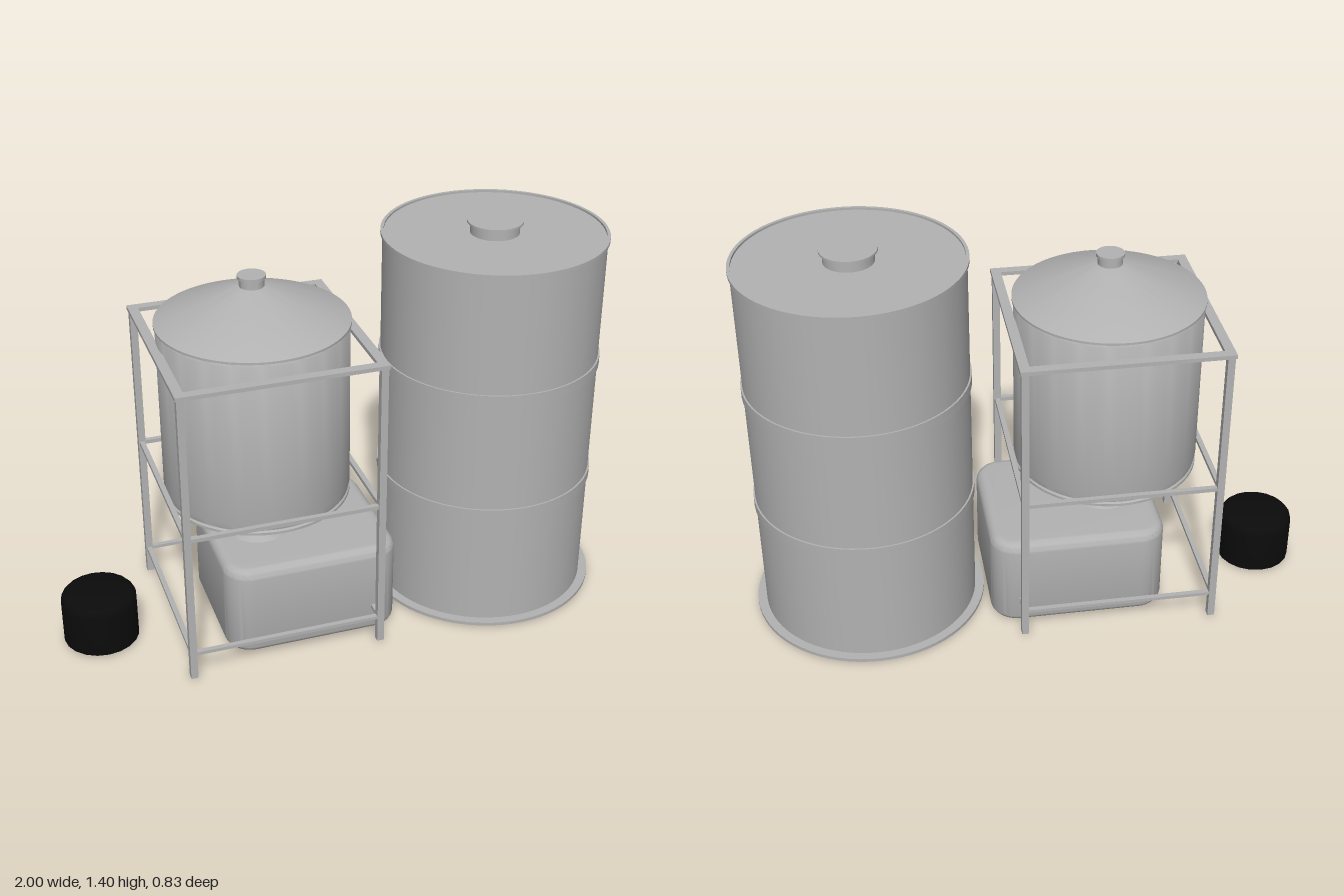
import * as THREE from 'three';
import { toCreasedNormals } from 'three/addons/utils/BufferGeometryUtils.js';

const grey = new THREE.MeshStandardMaterial({ color: 0xb2b2b2 });
grey.name = 'paintedGrey';
const black = new THREE.MeshStandardMaterial({ color: 0x0b0b0b });
black.name = 'matteBlack';

// Turned part: profile of [radius, height] pairs from bottom to top
function turned(name, profile, x, segments = 64, material = grey) {
  const points = profile.map(([r, y]) => new THREE.Vector2(r, y));
  const geometry = toCreasedNormals(new THREE.LatheGeometry(points, segments), 0.6);
  const mesh = new THREE.Mesh(geometry, material);
  mesh.name = name;
  mesh.position.x = x;
  return mesh;
}

function bar(name, w, h, d, x, y, z) {
  const mesh = new THREE.Mesh(new THREE.BoxGeometry(w, h, d), grey);
  mesh.name = name;
  mesh.position.set(x, y, z);
  return mesh;
}

// Tall drum with base flange, two hoops, top rim and filler cap
function createDrum() {
  const drum = new THREE.Group();
  drum.name = 'tallDrum';
  const x = 0.585;
  drum.add(turned('drumBody', [
    [0, 0.008], [0.415, 0.008], [0.415, 0.02], [0.383, 0.02],
    [0.383, 1.353], [0.39, 1.353], [0.39, 1.365], [0.379, 1.365], [0.379, 1.357], [0, 1.357],
  ], x, 72));
  for (const y of [0.463, 0.911]) {
    drum.add(turned('drumHoop', [[0.38, y - 0.018], [0.389, y - 0.018], [0.389, y + 0.018], [0.38, y + 0.018]], x, 72));
  }
  drum.add(turned('drumCap', [[0.085, 1.355], [0.085, 1.394], [0.096, 1.394], [0.096, 1.401], [0, 1.401]], x, 40));
  return drum;
}

// Cone-topped hopper, held up in the frame
function createHopper() {
  const hopper = new THREE.Group();
  hopper.name = 'hopper';
  hopper.add(turned('hopperBody', [
    [0, 0.515], [0.325, 0.515], [0.325, 0.524], [0.32, 0.53], [0.325, 0.555],
    [0.325, 1.142], [0.32, 1.15], [0.33, 1.154], [0.33, 1.162], [0.05, 1.28], [0, 1.28],
  ], -0.277));
  hopper.add(turned('hopperCap', [[0.042, 1.275], [0.042, 1.308], [0.048, 1.308], [0.048, 1.319], [0, 1.319]], -0.277, 32));
  return hopper;
}

// Four legs joined by three levels of rails
function createFrame() {
  const frame = new THREE.Group();
  frame.name = 'supportFrame';
  const cx = -0.275, hx = 0.338, hz = 0.343;
  for (const sx of [-1, 1]) {
    for (const sz of [-1, 1]) {
      frame.add(bar('frameLeg', 0.025, 1.08, 0.025, cx + sx * hx, 0.55, sz * hz));
    }
  }
  const levels = [
    ['topRail', 1.095, 0.014, 0.034],
    ['middleRail', 0.565, 0.014, 0.018],
    ['lowerRail', 0.108, 0.012, 0.018],
  ];
  for (const [name, y, h, w] of levels) {
    for (const s of [-1, 1]) {
      frame.add(bar(name, 2 * hx + w, h, w, cx, y, s * hz));
      frame.add(bar(name, w, h, 2 * hz - w, cx + s * hx, y, 0));
    }
  }
  return frame;
}

// Rounded collecting tank with a flared, collared neck
function createTank() {
  const tank = new THREE.Group();
  tank.name = 'collectingTank';
  const bevel = 0.035, r = 0.06, hx = 0.3125 - bevel, hz = 0.277 - bevel;
  const outline = new THREE.Shape();
  outline.absarc(hx - r, hz - r, r, 0, Math.PI / 2);
  outline.absarc(r - hx, hz - r, r, Math.PI / 2, Math.PI);
  outline.absarc(r - hx, r - hz, r, Math.PI, Math.PI * 1.5);
  outline.absarc(hx - r, r - hz, r, Math.PI * 1.5, Math.PI * 2);
  const geometry = new THREE.ExtrudeGeometry(outline, {
    depth: 0.342 - 2 * bevel, bevelThickness: bevel, bevelSize: bevel, bevelSegments: 6, curveSegments: 8,
  });
  geometry.rotateX(-Math.PI / 2);
  const body = new THREE.Mesh(toCreasedNormals(geometry, 0.6), grey);
  body.name = 'tankBody';
  body.position.set(-0.1475, bevel, 0);
  tank.add(body);
  tank.add(turned('tankNeck', [
    [0.112, 0.335], [0.103, 0.347], [0.085, 0.365], [0.069, 0.395], [0.059, 0.425], [0.055, 0.46],
    [0.073, 0.462], [0.073, 0.478], [0.063, 0.48], [0.063, 0.492], [0.076, 0.494],
    [0.076, 0.508], [0.063, 0.51], [0.063, 0.52],
  ], -0.277, 40));
  return tank;
}

export function createModel() {
  const model = new THREE.Group();
  model.name = 'storageTanks';
  model.add(createDrum(), createHopper(), createFrame(), createTank());
  // Small black canister with softened top edge
  model.add(turned('blackCanister', [
    [0, 0.01], [0.133, 0.01], [0.133, 0.163], [0.13, 0.178], [0.121, 0.189], [0.106, 0.195], [0, 0.195],
  ], -0.866, 20, black));
  return model;
}
